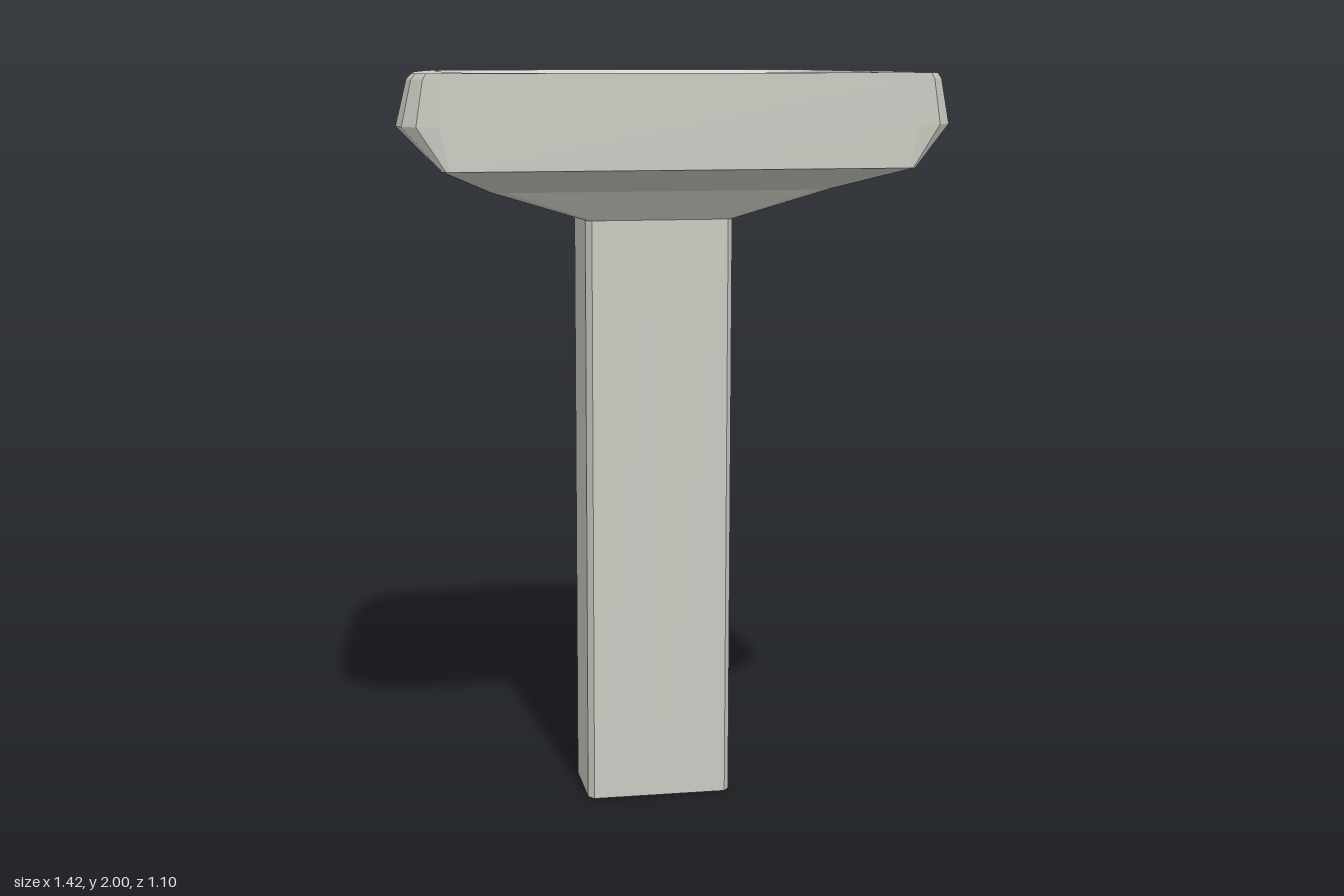
import * as THREE from 'three';

// Half outlines run from the bowed front (-z) round the +x side to the straight back (+z).
const mirror = (half) => [...half, ...half.slice(1, -1).reverse().map(([x, z]) => [-x, z])];

function bend(p, c, q, steps) {
  const pts = [];
  for (let i = 0; i <= steps; i++) {
    const t = i / steps, u = 1 - t;
    pts.push([0, 1].map((k) => u * u * p[k] + 2 * u * t * c[k] + t * t * q[k]));
  }
  return pts;
}

// wf/wb: half widths at front/back, zf/zb: front/back, rf/rb: corner sizes, bow: front curve, bulge: side curve
function ring({ y, wf, wb, zf, zb, rf, rb, bow, bulge = 0.012 }) {
  const f = zf + bow;
  const front = bend([wf - rf, f], [wf - 0.01, f + 0.02], [wf + 0.02, f + rf], 4);
  const back = bend([wb, zb - rb], [wb, zb], [wb - rb, zb], 3);
  const a = front[4], b = back[0];
  const mid = [(a[0] + b[0]) / 2 + bulge, (a[1] + b[1]) / 2];
  return mirror([[0, zf], ...front, mid, ...back, [0, zb]]).map(([x, z]) => [x, y, z]);
}

// Skin consecutive rings with quads; optionally close the first ring from below.
function loft(rings, capBottom = false) {
  const pos = [];
  const tri = (...p) => p.forEach((v) => pos.push(...v));
  const n = rings[0].length;
  for (let j = 0; j < n; j++) {
    const k = (j + 1) % n;
    for (let i = 0; i < rings.length - 1; i++) {
      const lo = rings[i], hi = rings[i + 1];
      tri(lo[j], hi[j], lo[k]);
      tri(lo[k], hi[j], hi[k]);
    }
    if (capBottom) tri([0, rings[0][0][1], 0.03], rings[0][j], rings[0][k]);
  }
  const g = new THREE.BufferGeometry();
  g.setAttribute('position', new THREE.Float32BufferAttribute(pos, 3));
  g.computeVertexNormals();
  return g;
}

export function createModel() {
  const model = new THREE.Group();
  model.name = 'pedestalSink';
  const ceramic = new THREE.MeshStandardMaterial({ color: 0xcbcbc3, flatShading: true });
  ceramic.name = 'ceramic';

  const add = (name, geometry) => {
    const mesh = new THREE.Mesh(geometry, ceramic);
    mesh.name = name;
    model.add(mesh);
    return mesh;
  };

  // Column with a flat back and rounded front
  const section = mirror([[0, -0.17], [0.07, -0.163], [0.14, -0.13], [0.18, -0.07],
    [0.2, 0], [0.2, 0.2], [0.185, 0.22], [0, 0.22]]);
  add('pedestal', loft([0, 1.615].map((y) => section.map(([x, z]) => [x, y, z])), true));

  // Outer shell, from the pedestal up to the rim
  const shell = [
    { y: 1.61, wf: 0.17, wb: 0.2, zf: -0.17, zb: 0.22, rf: 0.11, rb: 0.02, bow: 0.01, bulge: 0.005 },
    { y: 1.69, wf: 0.34, wb: 0.46, zf: -0.24, zb: 0.28, rf: 0.16, rb: 0.04, bow: 0.02 },
    { y: 1.76, wf: 0.48, wb: 0.605, zf: -0.4, zb: 0.55, rf: 0.18, rb: 0.02, bow: 0.03 },
    { y: 1.87, wf: 0.61, wb: 0.712, zf: -0.553, zb: 0.55, rf: 0.19, rb: 0.1, bow: 0.04, bulge: 0.017 },
    { y: 1.985, wf: 0.582, wb: 0.685, zf: -0.525, zb: 0.55, rf: 0.18, rb: 0.08, bow: 0.04, bulge: 0.015 },
    { y: 2, wf: 0.562, wb: 0.672, zf: -0.5, zb: 0.55, rf: 0.17, rb: 0.07, bow: 0.035, bulge: 0.012 },
  ].map(ring);

  // Inner lip with the recessed ledge behind the bowl
  const lip = [
    { y: 2, wf: 0.535, wb: 0.54, zf: -0.488, zb: 0.523, rf: 0.15, rb: 0.14, bow: 0.035, bulge: 0.03 },
    { y: 1.985, wf: 0.528, wb: 0.53, zf: -0.48, zb: 0.513, rf: 0.15, rb: 0.14, bow: 0.035, bulge: 0.03 },
    { y: 1.965, wf: 0.522, wb: 0.545, zf: -0.475, zb: 0.25, rf: 0.14, rb: 0.12, bow: 0.035, bulge: 0.02 },
  ].map(ring);

  // Bowl falling to the drain
  const bowl = [
    { y: 1.83, wf: 0.43, wb: 0.455, zf: -0.35, zb: 0.243, rf: 0.14, rb: 0.12, bow: 0.03 },
    { y: 1.755, wf: 0.27, wb: 0.31, zf: -0.07, zb: 0.2, rf: 0.11, rb: 0.08, bow: 0.03 },
    { y: 1.73, wf: 0.015, wb: 0.03, zf: 0.075, zb: 0.13, rf: 0.012, rb: 0.012, bow: 0.004, bulge: 0 },
  ].map(ring);

  add('basinShell', loft(shell));
  add('rimAndLedge', loft([shell.at(-1), ...lip]));
  add('bowl', loft([lip.at(-1), ...bowl]));

  // Drain plug
  const drain = add('drain', new THREE.CylinderGeometry(0.034, 0.034, 0.008, 5));
  drain.position.set(0, 1.729, 0.102);
  return model;
}
